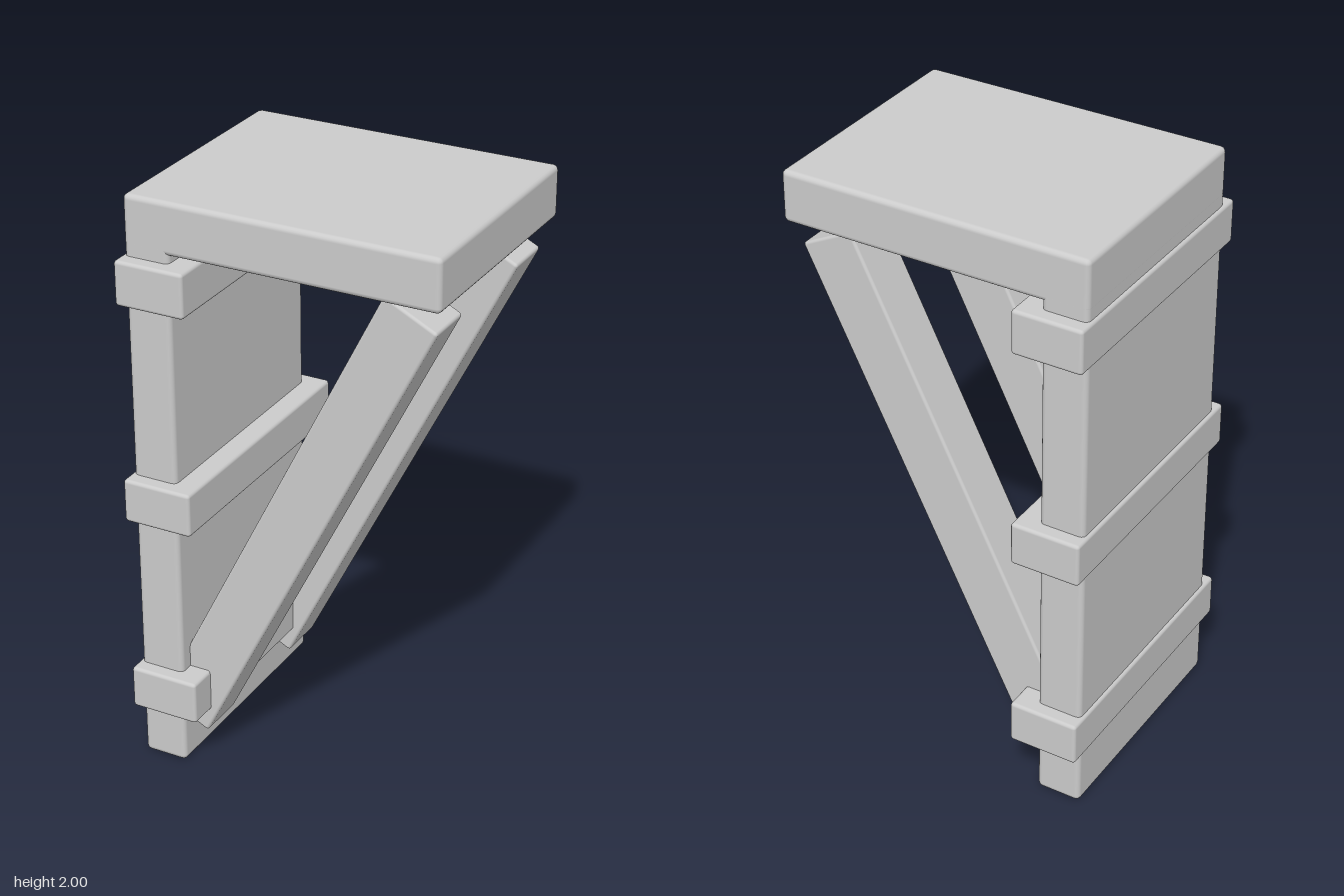
import * as THREE from 'three';
import { RoundedBoxGeometry } from 'three/addons/geometries/RoundedBoxGeometry.js';

export function createModel() {
  const group = new THREE.Group();
  const material = new THREE.MeshStandardMaterial({ color: 0xcccccc });

  // Box with softened edges, given by its size and centre
  const block = (name, [w, h, d], [x, y, z], radius = 0.018) => {
    const mesh = new THREE.Mesh(new RoundedBoxGeometry(w, h, d, 2, radius), material);
    mesh.name = name;
    mesh.position.set(x, y, z);
    group.add(mesh);
    return mesh;
  };

  // Top slab and the upright panel that carries it
  block('topSlab', [1.06, 0.175, 0.835], [0.002, 1.9125, 0]);
  block('backPanel', [0.155, 1.86, 0.835], [-0.45, 0.93, 0]);

  // Bands wrapped around the panel
  [0.275, 0.975, 1.725].forEach((y, i) =>
    block(`band${i + 1}`, [0.24, 0.15, 0.933], [-0.418, y, 0], 0.012));

  // Diagonal braces under the slab
  for (const side of [1, -1]) {
    const brace = block(side > 0 ? 'frontBrace' : 'rearBrace',
      [0.197, 1.82, 0.173], [0.005, 0.968, side * 0.28], 0.01);
    brace.rotation.z = -0.465;
  }

  return group;
}
